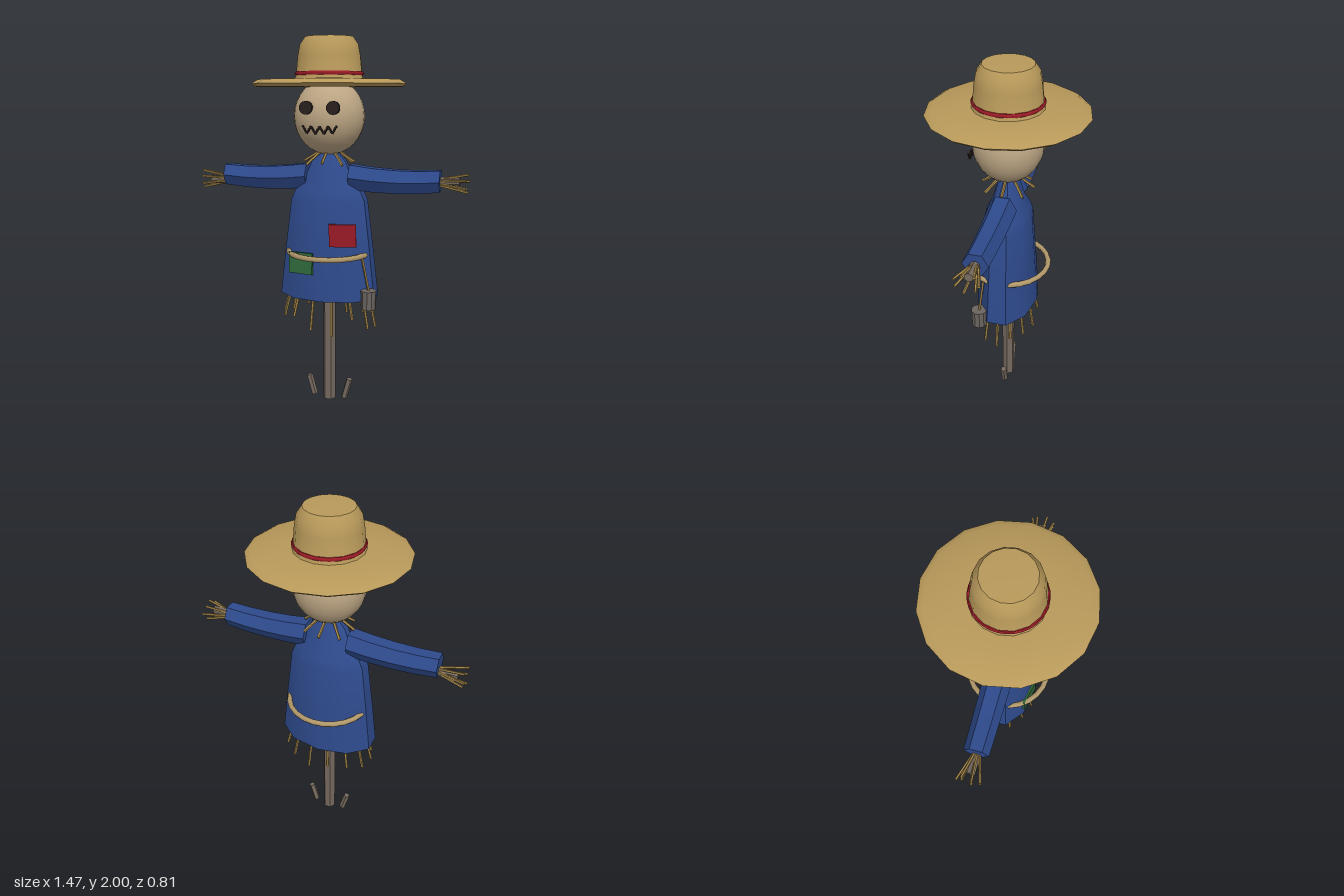
import * as THREE from 'three';
import { toCreasedNormals } from 'three/addons/utils/BufferGeometryUtils.js';

const mat = (name, color) => {
  const m = new THREE.MeshStandardMaterial({ color });
  m.name = name;
  return m;
};
const V = (x, y, z) => new THREE.Vector3(x, y, z);

export function createModel() {
  const model = new THREE.Group();
  model.name = 'scarecrow';

  const hatStraw = mat('hatStraw', 0xb8995a);
  const burlap = mat('burlap', 0xbda684);
  const cloth = mat('blueCloth', 0x2e4a8c);
  const red = mat('red', 0xa01c28);
  const green = mat('green', 0x2f6a3a);
  const rope = mat('rope', 0xb39a6c);
  const straw = mat('straw', 0xa5874a);
  const wood = mat('wood', 0x75695e);
  const tin = mat('tin', 0x6c6560);
  const dark = mat('dark', 0x2a211e);

  // Adds a mesh; edges sharper than the crease angle stay hard
  const add = (name, geo, material, parent = model, crease = 0.6) => {
    const mesh = new THREE.Mesh(toCreasedNormals(geo, crease), material);
    mesh.name = name;
    parent.add(mesh);
    return mesh;
  };
  const group = (name) => {
    const g = new THREE.Group();
    g.name = name;
    model.add(g);
    return g;
  };
  const lathe = (pts, sides) =>
    new THREE.LatheGeometry(pts.map(([r, y]) => new THREE.Vector2(r, y)), sides);
  // Straight rod between two points
  const rod = (name, a, b, r, material, parent = model, sides = 5) => {
    const geo = new THREE.CylinderGeometry(r, r, a.distanceTo(b), sides);
    geo.rotateY(Math.PI / sides);
    const mesh = add(name, geo, material, parent);
    mesh.position.copy(a).add(b).multiplyScalar(0.5);
    mesh.quaternion.setFromUnitVectors(V(0, 1, 0), b.clone().sub(a).normalize());
    return mesh;
  };
  let seed = 7;
  const rand = () => (seed = (seed * 16807) % 2147483647) / 2147483647;

  // Pole, crossbar and ground stakes
  rod('pole', V(0, 0, 0), V(0, 1.3, 0), 0.036, wood, model, 6);
  rod('crossbar', V(-0.69, 1.23, 0), V(0.69, 1.27, 0), 0.024, wood, model, 6);
  for (const s of [-1, 1])
    rod('groundStake', V(s * 0.087, 0.01, 0), V(s * 0.118, 0.123, 0), 0.018, wood);

  // Coat: ten-sided lathe flattened front to back
  const coat = lathe([[0, 0.62], [0.278, 0.62], [0.25, 0.86], [0.213, 1.15],
    [0.19, 1.2], [0.137, 1.265], [0.095, 1.36], [0.055, 1.4], [0, 1.405]], 10);
  coat.scale(1, 1, 0.61);
  add('coat', coat, cloth);

  // Sleeves: tapered hexagonal tubes with a slight sag, and straw hands
  for (const s of [-1, 1]) {
    const sleeve = new THREE.CylinderGeometry(0.064, 0.075, 0.475, 6, 4);
    sleeve.rotateZ(-s * Math.PI / 2);
    const p = sleeve.attributes.position;
    for (let i = 0; i < p.count; i++) {
      const t = s * p.getX(i) / 0.475 + 0.5;
      p.setY(i, p.getY(i) + 1.276 - 0.008 * t - 0.055 * t * (1 - t));
    }
    sleeve.translate(s * 0.355, 0, 0);
    add(s > 0 ? 'leftSleeve' : 'rightSleeve', sleeve, cloth);

    const hand = group(s > 0 ? 'leftHandStraw' : 'rightHandStraw');
    const y = 1.25 + s * 0.012;
    for (let i = 0; i < 7; i++) {
      const a = i / 7 * Math.PI * 2 + 0.4;
      const c = Math.cos(a), d = Math.sin(a);
      rod('straw', V(s * 0.59, y + d * 0.016, c * 0.016),
        V(s * (0.725 + 0.01 * (i % 2)), y + d * 0.048, c * 0.062), 0.007, straw, hand);
    }
  }

  // Straw at the neck and under the hem
  const neck = group('neckStraw');
  for (let i = 0; i < 8; i++) {
    const a = i / 8 * Math.PI * 2, c = Math.cos(a), d = Math.sin(a);
    rod('straw', V(d * 0.05, 1.41, c * 0.05),
      V(d * 0.138, 1.355 - 0.012 * (i % 2), c * 0.138), 0.008, straw, neck);
  }
  const hem = group('hemStraw');
  for (let i = 0; i < 14; i++) {
    const a = (i + 0.5) / 14 * Math.PI * 2, c = Math.cos(a), d = Math.sin(a);
    rod('straw', V(d * 0.222, 0.65, c * 0.135),
      V(d * 0.262, 0.43 + rand() * 0.1, c * 0.165), 0.008, straw, hem);
  }

  // Rope belt
  const belt = new THREE.TorusGeometry(0.221, 0.015, 6, 24);
  belt.rotateX(Math.PI / 2);
  add('ropeBelt', belt, rope, model, 1.2).position.y = 0.865;

  // Patches sewn on the coat
  const redPatch = add('redPatch', new THREE.BoxGeometry(0.142, 0.122, 0.012), red);
  redPatch.position.set(0.113, 0.983, 0.145);
  redPatch.rotation.set(0.1, 0.17, 0);
  const greenPatch = add('greenPatch', new THREE.BoxGeometry(0.14, 0.115, 0.012), green);
  greenPatch.position.set(-0.115, 0.822, 0.15);
  greenPatch.rotation.set(-0.04, -0.2, 0);

  // Tin pail hanging from the belt
  rod('pailCord', V(0.203, 0.865, 0.085), V(0.246, 0.68, 0.1), 0.007, straw);
  add('pail', new THREE.CylinderGeometry(0.042, 0.04, 0.1, 10), tin)
    .position.set(0.246, 0.636, 0.102);

  // Head and face
  const head = new THREE.SphereGeometry(1, 24, 16);
  head.scale(0.188, 0.2, 0.18);
  add('head', head, burlap).position.y = 1.59;
  for (const s of [-1, 1]) {
    const eye = new THREE.CylinderGeometry(0.034, 0.034, 0.022, 14);
    eye.rotateX(Math.PI / 2);
    add('eye', eye, dark).position.set(s * 0.071, 1.638, 0.178);
  }
  const mouth = group('stitchedMouth');
  const zig = [];
  for (let i = 0; i <= 8; i++) {
    const x = (i - 4) * 0.0225;
    zig.push(V(x, (i % 2 ? 1.508 : 1.545) + 0.6 * x * x, 0.18));
  }
  for (let i = 0; i < 8; i++) rod('stitch', zig[i], zig[i + 1], 0.006, dark, mouth);

  // Hat and band
  add('hat', lathe([[0, 1.742], [0.385, 1.742], [0.406, 1.758], [0.372, 1.779],
    [0.18, 1.785], [0.174, 1.8], [0.164, 1.9], [0.153, 1.955], [0.126, 1.994],
    [0, 2]], 16), hatStraw);
  const band = new THREE.TorusGeometry(0.17, 0.011, 6, 32);
  band.rotateX(Math.PI / 2);
  add('hatBand', band, red, model, 1.2).position.y = 1.81;

  return model;
}
